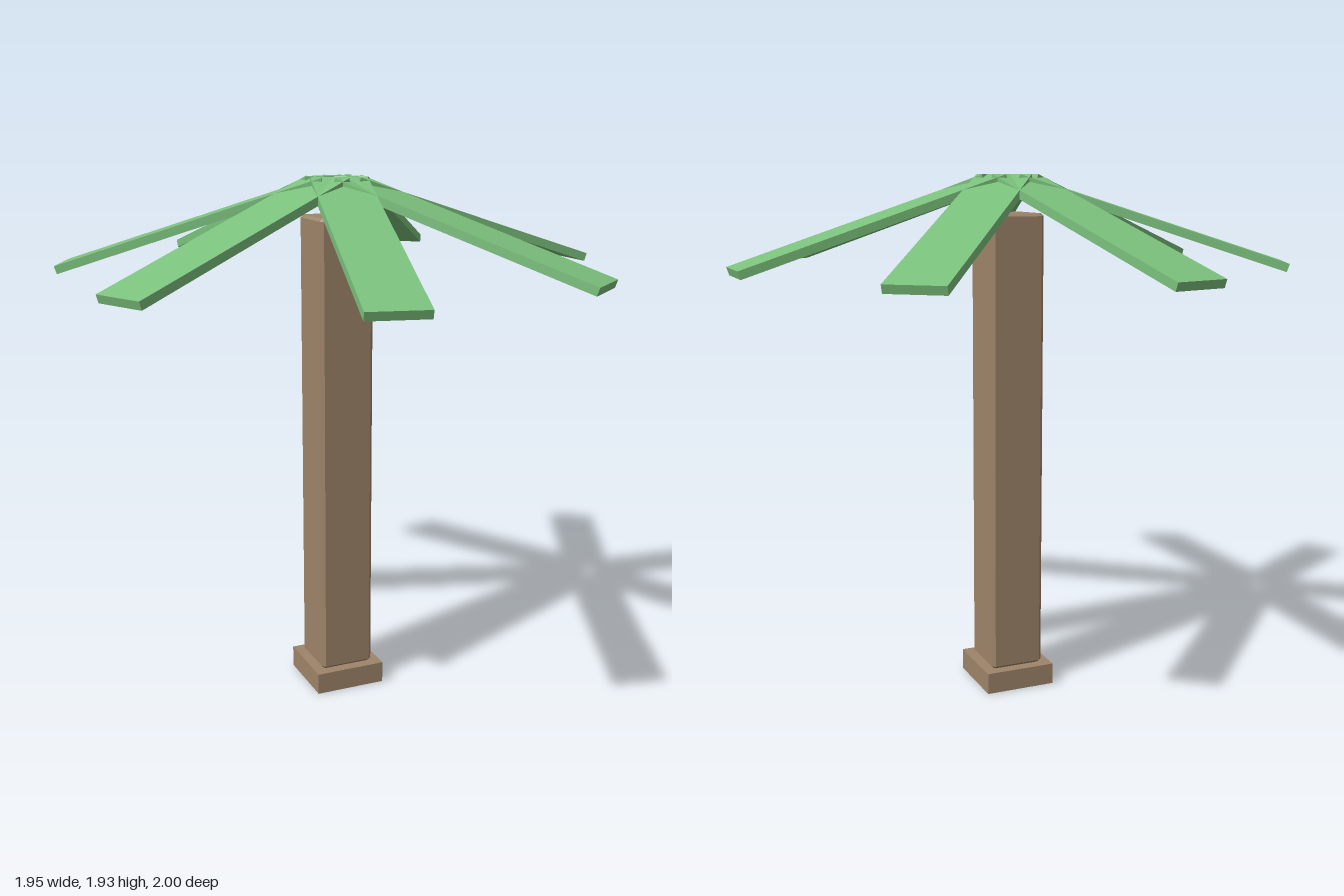
import * as THREE from 'three';

export function createModel() {
  const model = new THREE.Group();
  model.name = 'palmTree';
  const bark = new THREE.MeshStandardMaterial({ color: 0x9e846a });
  bark.name = 'bark brown';
  const leaf = new THREE.MeshStandardMaterial({ color: 0x7bc17c });
  leaf.name = 'leaf green';

  // The trunk axis sits slightly off centre so the seven fronds fill the width
  const axis = new THREE.Group();
  axis.name = 'tree';
  axis.position.x = -0.03;
  model.add(axis);

  const add = (parent, name, geometry, material) => {
    const mesh = new THREE.Mesh(geometry, material);
    mesh.name = name;
    parent.add(mesh);
    return mesh;
  };

  // Square foot
  add(axis, 'base', new THREE.BoxGeometry(0.268, 0.08, 0.268), bark).position.y = 0.04;

  // Square trunk with all edges chamfered
  const half = 0.102, chamfer = 0.01, bottom = 0.08, top = 1.79;
  const h = half - chamfer;    // end caps are inset; the bevel grows them out to full width
  const c = h - chamfer * 0.6;
  const outline = new THREE.Shape([
    [h, -c], [h, c], [c, h], [-c, h], [-h, c], [-h, -c], [-c, -h], [c, -h],
  ].map(([x, y]) => new THREE.Vector2(x, y)));
  const trunkGeometry = new THREE.ExtrudeGeometry(outline, {
    depth: top - bottom - 2 * chamfer,
    bevelEnabled: true, bevelSegments: 1, bevelSize: chamfer, bevelThickness: chamfer,
  });
  trunkGeometry.translate(0, 0, bottom + chamfer);
  trunkGeometry.rotateX(-Math.PI / 2);
  add(axis, 'trunk', trunkGeometry, bark);

  // Seven drooping plank fronds around a small open centre
  const tilt = THREE.MathUtils.degToRad(18);
  const frondGeometry = new THREE.BoxGeometry(1, 0.03, 0.204);
  frondGeometry.rotateZ(-tilt);
  frondGeometry.translate(0.52, 1.758, 0);
  const crown = new THREE.Group();
  crown.name = 'crown';
  axis.add(crown);
  for (let i = 0; i < 7; i++) {
    add(crown, `frond${i + 1}`, frondGeometry, leaf).rotation.y = (i * 2 * Math.PI) / 7;
  }

  return model;
}
